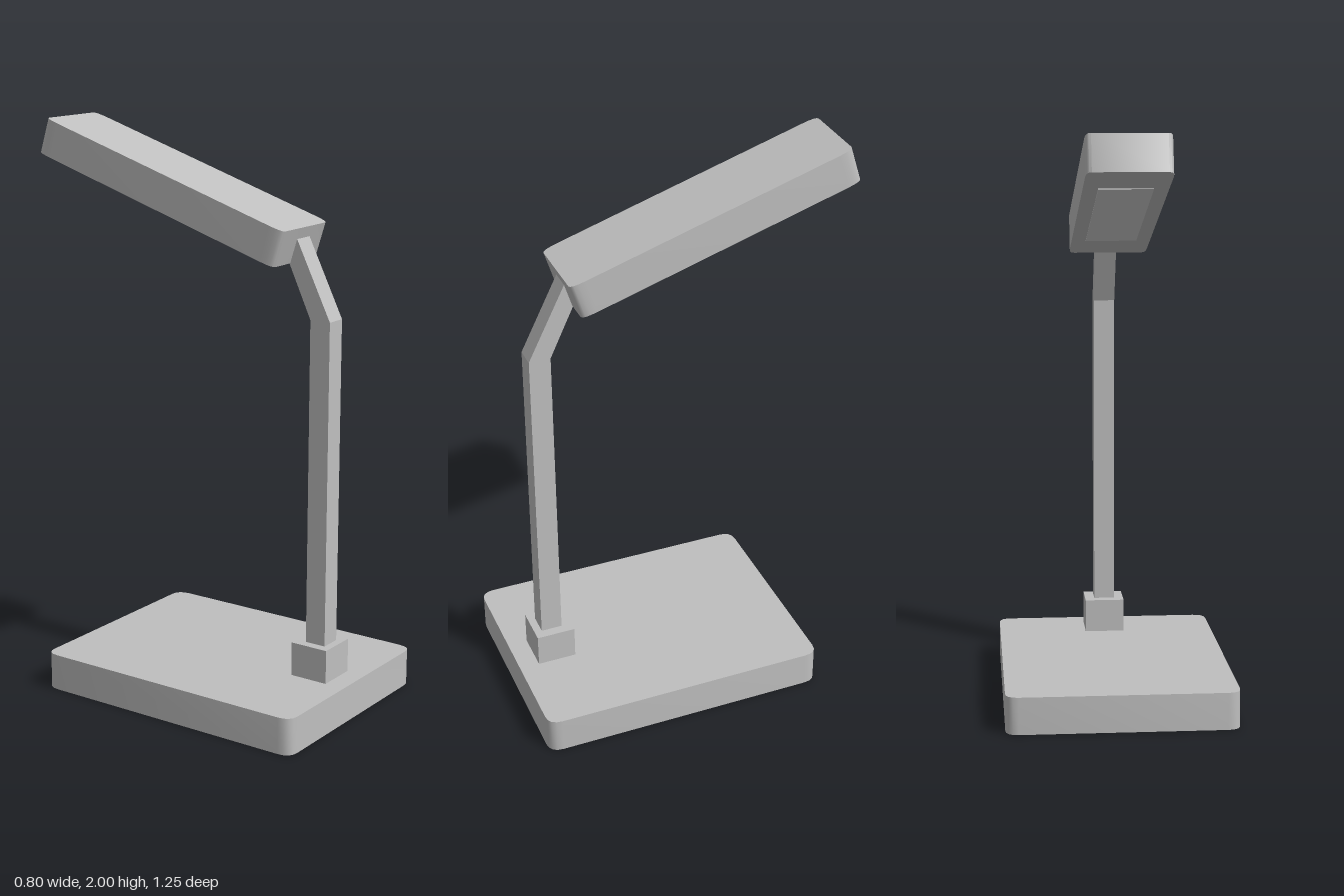
import * as THREE from 'three';
import { toCreasedNormals } from 'three/addons/utils/BufferGeometryUtils.js';

const body = new THREE.MeshStandardMaterial({ name: 'grey body', color: 0xbfbfbf });
const glow = new THREE.MeshStandardMaterial({ name: 'pale light panel', color: 0xd2d2d2 });

function mesh(name, geometry, material, x = 0, y = 0, z = 0) {
  const m = new THREE.Mesh(geometry, material);
  m.name = name;
  m.position.set(x, y, z);
  return m;
}

// Flat slab, centred, with rounded upright corners (rx across, rz along)
function roundedSlab(width, height, length, rx, rz) {
  const w = width / 2, l = length / 2;
  const s = new THREE.Shape();
  s.moveTo(-w + rx, -l);
  s.lineTo(w - rx, -l);
  s.quadraticCurveTo(w, -l, w, -l + rz);
  s.lineTo(w, l - rz);
  s.quadraticCurveTo(w, l, w - rx, l);
  s.lineTo(-w + rx, l);
  s.quadraticCurveTo(-w, l, -w, l - rz);
  s.lineTo(-w, -l + rz);
  s.quadraticCurveTo(-w, -l, -w + rx, -l);
  const g = new THREE.ExtrudeGeometry(s, { depth: height, bevelEnabled: false, curveSegments: 4 });
  g.translate(0, 0, -height / 2);
  g.rotateX(-Math.PI / 2);
  return toCreasedNormals(g, 0.7);
}

export function createModel() {
  const lamp = new THREE.Group();
  lamp.name = 'deskLamp';

  // Base and the socket that holds the arm
  lamp.add(mesh('base', roundedSlab(0.8, 0.13, 1.04, 0.045, 0.05), body, 0, 0.065, 0.105));
  lamp.add(mesh('socket', new THREE.BoxGeometry(0.144, 0.122, 0.14), body, 0.005, 0.189, 0.483));

  // Bent square arm, drawn as a side profile (z, y)
  const profile = [[0.45, 0.2], [0.526, 0.2], [0.526, 1.385], [0.392, 1.655], [0.364, 1.569], [0.45, 1.385]];
  const armShape = new THREE.Shape(profile.map(([z, y]) => new THREE.Vector2(z, y)));
  const armGeometry = new THREE.ExtrudeGeometry(armShape, { depth: 0.076, bevelEnabled: false });
  armGeometry.rotateY(-Math.PI / 2);
  lamp.add(mesh('arm', armGeometry, body, 0.042));

  // Tilted head with the light panel underneath
  const head = new THREE.Group();
  head.name = 'head';
  head.position.set(-0.002, 1.784, -0.109);
  head.rotation.x = THREE.MathUtils.degToRad(17.5);
  head.add(mesh('headShell', roundedSlab(0.28, 0.127, 1.04, 0.018, 0.055), body));
  head.add(mesh('lightPanel', new THREE.BoxGeometry(0.18, 0.006, 0.67), glow, 0, -0.063, 0));
  lamp.add(head);

  return lamp;
}
